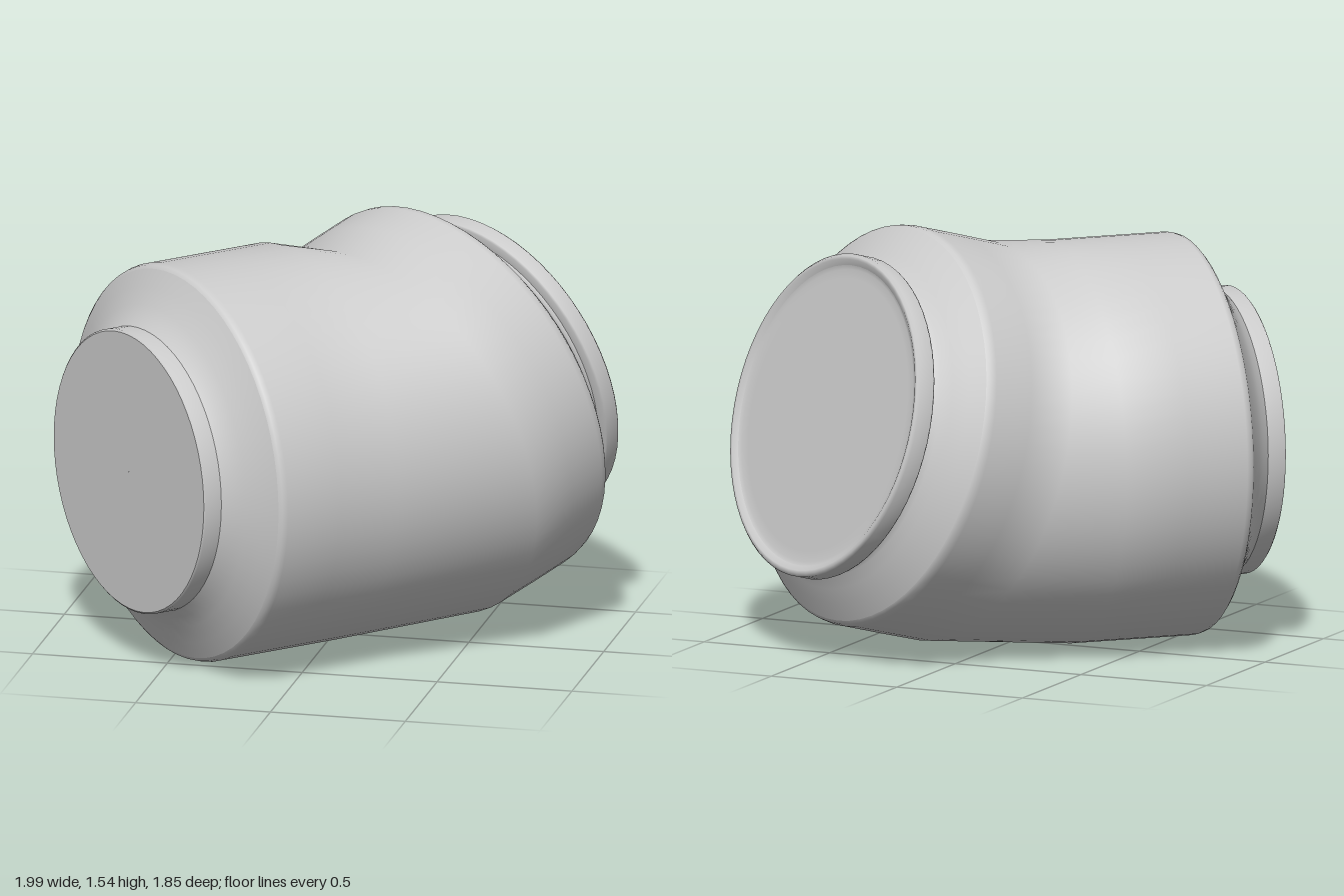
import * as THREE from 'three';

const SIDES = 64;
const material = new THREE.MeshStandardMaterial({ color: 0xcccccc, side: THREE.DoubleSide });
const vec = (x, y, z) => new THREE.Vector3(x, y, z);

// The bent can: each end has its own axis, both pointing from front to back
const front = { center: vec(-0.63, 0.735, 0.555), axis: vec(1, 0, -1).normalize(), dir: 1 };
const back = { center: vec(0.485, 0.895, -0.585), axis: vec(0.52, 0.26, -0.812).normalize(), dir: -1 };

// A round cross-section at a given depth inward from one end
const ring = (end, depth, radius) => ({
  center: end.center.clone().addScaledVector(end.axis, depth * end.dir),
  axis: end.axis,
  radius,
});

// Skin a list of rings, ordered front to back
function loft(name, rings) {
  const positions = [];
  const index = [];
  for (const { center, axis, radius } of rings) {
    const v = vec(0, 1, 0).addScaledVector(axis, -axis.y).normalize();
    const w = v.clone().cross(axis);
    for (let j = 0; j < SIDES; j++) {
      const t = (j / SIDES) * Math.PI * 2;
      const p = center.clone()
        .addScaledVector(w, Math.cos(t) * radius)
        .addScaledVector(v, Math.sin(t) * radius);
      positions.push(p.x, p.y, p.z);
    }
  }
  for (let i = 0; i < rings.length - 1; i++) {
    for (let j = 0; j < SIDES; j++) {
      const k = (j + 1) % SIDES;
      const a = i * SIDES + j, b = i * SIDES + k;
      index.push(a, b, a + SIDES, b, b + SIDES, a + SIDES);
    }
  }
  const geometry = new THREE.BufferGeometry();
  geometry.setAttribute('position', new THREE.Float32BufferAttribute(positions, 3));
  geometry.setIndex(index);
  geometry.computeVertexNormals();
  const mesh = new THREE.Mesh(geometry, material);
  mesh.name = name;
  return mesh;
}

// Profile given as [depth, radius] pairs, front to back
const profile = (name, end, points) => loft(name, points.map(([d, r]) => ring(end, d, r)));

export function createModel() {
  const model = new THREE.Group();
  model.name = 'bentCan';

  // Front end: flat lid, straight rim and hollow shoulder
  model.add(profile('frontLid', front, [[0, 0.001], [0, 0.5], [0, 0.515]]));
  model.add(profile('frontRim', front, [[0, 0.515], [0.006, 0.522], [0.07, 0.522]]));
  model.add(profile('frontShoulder', front,
    [[0.07, 0.522], [0.1, 0.55], [0.13, 0.592], [0.165, 0.652], [0.195, 0.712]]));

  // Body: two straight lengths joined by the bend
  model.add(loft('body', [
    ring(front, 0.195, 0.712),
    ring(front, 0.205, 0.724),
    ring(front, 0.225, 0.73),
    ring(front, 0.45, 0.73),
    ring(front, 0.69, 0.73),
    ring(back, 0.58, 0.733),
    ring(back, 0.4, 0.735),
    ring(back, 0.245, 0.735),
    ring(back, 0.22, 0.73),
    ring(back, 0.21, 0.72),
  ]));

  // Back end: shoulder, overhanging rim and shallow dished base
  model.add(profile('backShoulder', back,
    [[0.21, 0.72], [0.17, 0.665], [0.135, 0.615], [0.11, 0.575], [0.09, 0.555], [0.075, 0.555]]));
  model.add(profile('backRim', back,
    [[0.075, 0.555], [0.073, 0.588], [0.065, 0.592], [0.01, 0.592], [0, 0.582], [0, 0.57], [0.012, 0.55]]));
  model.add(profile('backBase', back, [[0.012, 0.55], [0.018, 0.535], [0.018, 0.5], [0.018, 0.001]]));

  return model;
}
